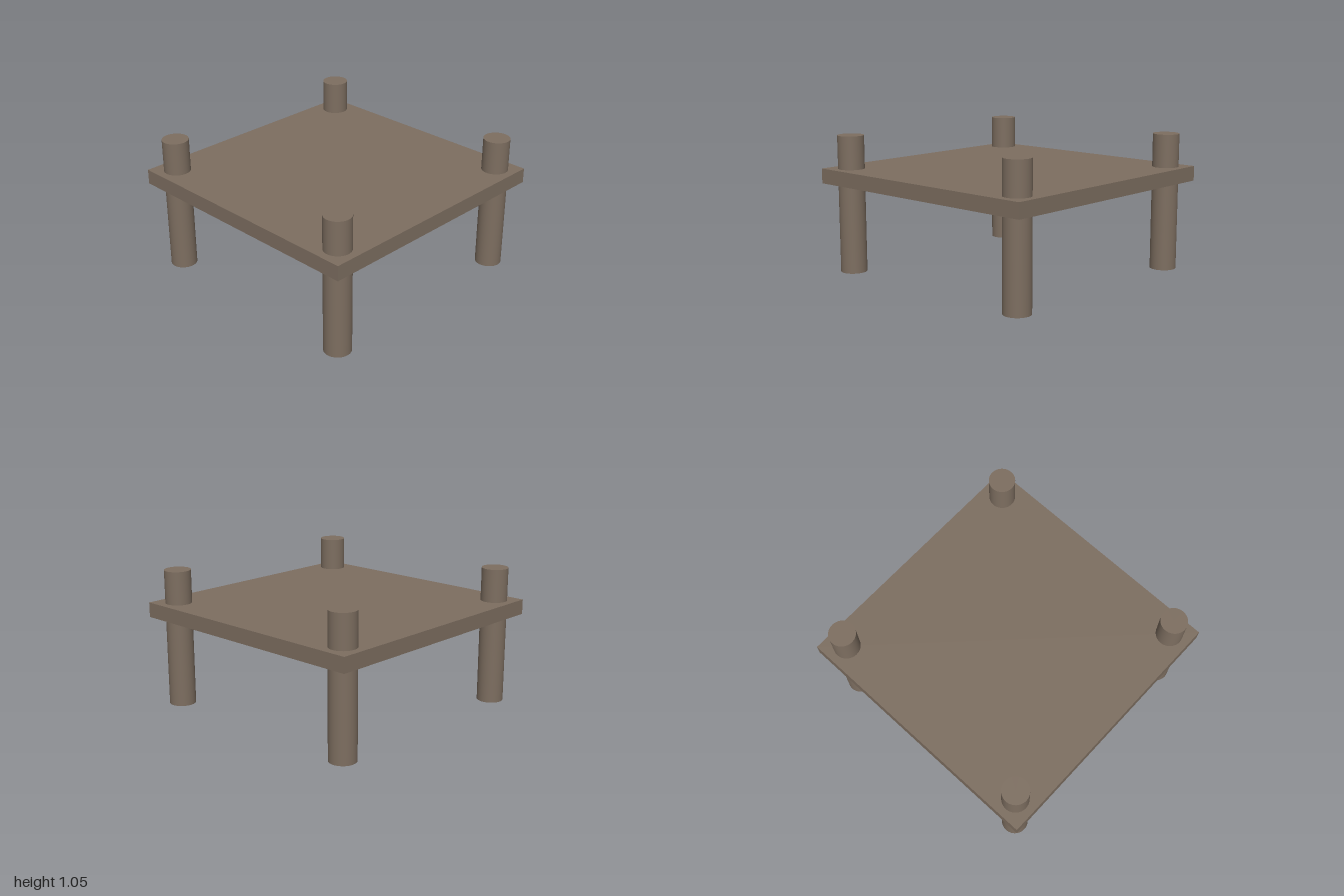
import * as THREE from 'three';

export function createModel() {
  const model = new THREE.Group();
  model.name = 'platform';

  const wood = new THREE.MeshStandardMaterial({ color: 0x7d6e60 });
  wood.name = 'brown wood';

  // Square deck
  const bottom = 0.682, top = 0.795;
  const deck = new THREE.Mesh(new THREE.BoxGeometry(2, top - bottom, 2), wood);
  deck.name = 'deck';
  deck.position.y = (bottom + top) / 2;
  model.add(deck);

  // Four round posts passing through the deck corners
  const height = 1.048, inset = 0.843;
  const postGeometry = new THREE.CylinderGeometry(0.1, 0.1, height, 48);
  for (const [sx, side] of [[1, 'Left'], [-1, 'Right']]) {
    for (const [sz, end] of [[1, 'front'], [-1, 'back']]) {
      const post = new THREE.Mesh(postGeometry, wood);
      post.name = `${end}${side}Post`;
      post.position.set(sx * inset, height / 2, sz * inset);
      model.add(post);
    }
  }

  return model;
}
